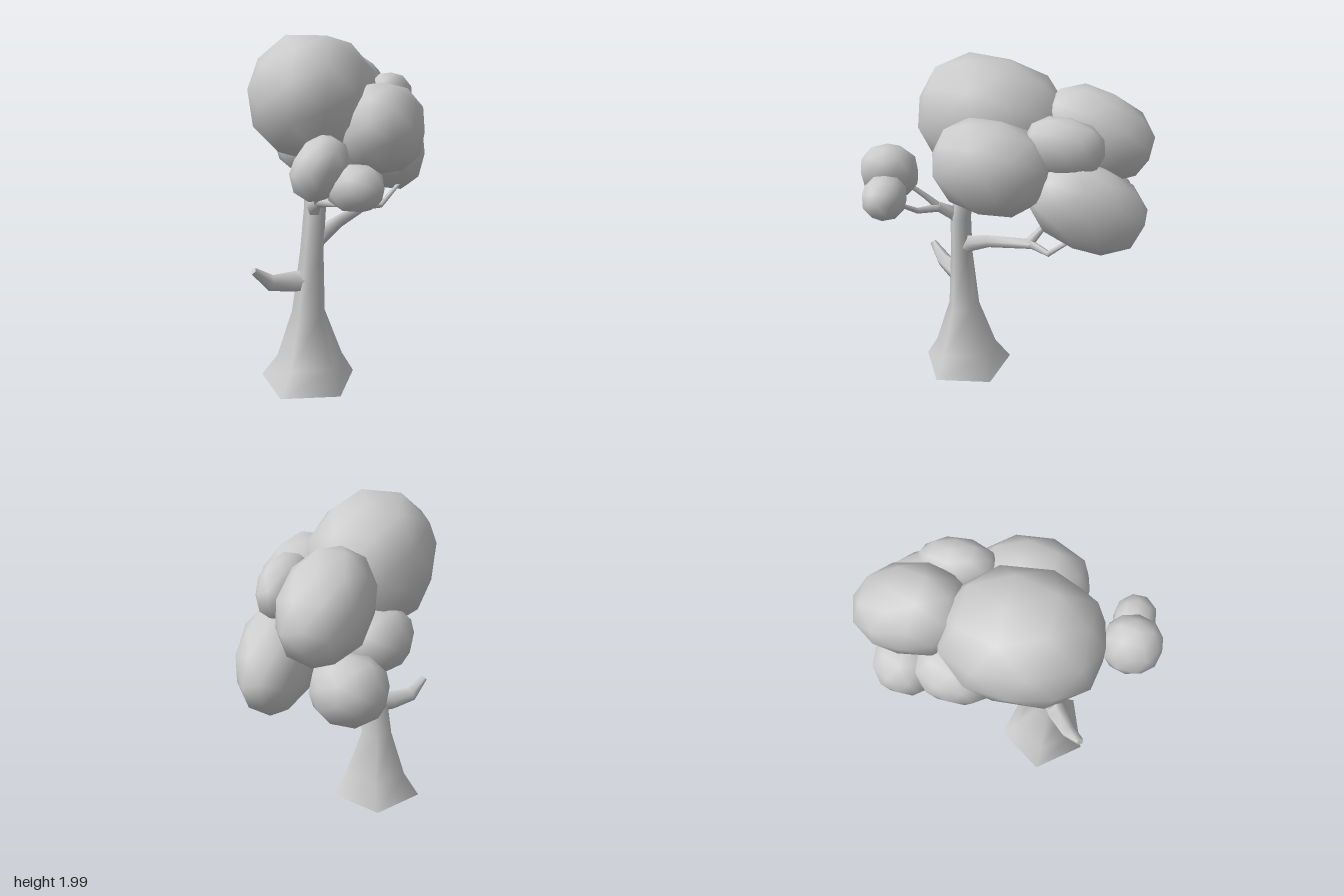
import * as THREE from 'three';
import { mergeVertices } from 'three/addons/utils/BufferGeometryUtils.js';

const material = new THREE.MeshStandardMaterial({ color: 0xcccccc });

// Tapered limb through sections [x, y, z, radius]; level keeps every ring horizontal
function limb(name, sections, level = false) {
  const sides = 5, twist = 0.58;
  const centres = sections.map(([x, y, z]) => new THREE.Vector3(x, y, z));
  const up = new THREE.Vector3(0, 1, 0);
  const pos = [], index = [];
  const last = sections.length - 1;
  sections.forEach((s, i) => {
    const tangent = centres[Math.min(i + 1, last)].clone().sub(centres[Math.max(i - 1, 0)]).normalize();
    const turn = new THREE.Quaternion();
    if (!level) turn.setFromUnitVectors(up, tangent);
    for (let k = 0; k < sides; k++) {
      const a = twist + (k / sides) * Math.PI * 2;
      const p = new THREE.Vector3(Math.cos(a) * s[3], 0, Math.sin(a) * s[3]).applyQuaternion(turn).add(centres[i]);
      pos.push(p.x, p.y, p.z);
    }
  });
  for (let i = 0; i < last; i++) {
    for (let k = 0; k < sides; k++) {
      const a = i * sides + k, b = i * sides + (k + 1) % sides;
      index.push(a, a + sides, b, b, a + sides, b + sides);
    }
  }
  // End caps with their own vertices, so the rims stay sharp
  for (const [ring, flip] of [[0, false], [last, true]]) {
    const start = pos.length / 3;
    pos.push(...pos.slice(ring * sides * 3, (ring + 1) * sides * 3));
    for (let k = 1; k < sides - 1; k++) {
      index.push(start, start + (flip ? k + 1 : k), start + (flip ? k : k + 1));
    }
  }
  const geometry = new THREE.BufferGeometry();
  geometry.setAttribute('position', new THREE.Float32BufferAttribute(pos, 3));
  geometry.setIndex(index);
  geometry.computeVertexNormals();
  const mesh = new THREE.Mesh(geometry, material);
  mesh.name = name;
  return mesh;
}

// Coarse ball swollen towards its corners, smooth-shaded
function makeClumpGeometry() {
  const ball = new THREE.IcosahedronGeometry(1, 1);
  ball.deleteAttribute('normal');
  ball.deleteAttribute('uv');
  const geometry = mergeVertices(ball, 1e-3);
  const position = geometry.attributes.position;
  const p = new THREE.Vector3();
  const power = 2.4;
  for (let i = 0; i < position.count; i++) {
    p.fromBufferAttribute(position, i);
    const size = p.toArray().reduce((sum, c) => sum + Math.abs(c) ** power, 0) ** (1 / power);
    p.divideScalar(size);
    position.setXYZ(i, p.x, p.y, p.z);
  }
  geometry.computeVertexNormals();
  return geometry;
}

const clumpGeometry = makeClumpGeometry();
function clump(name, centre, radii, tilt = [0, 0, 0]) {
  const mesh = new THREE.Mesh(clumpGeometry, material);
  mesh.name = name;
  mesh.position.set(...centre);
  mesh.scale.set(...radii);
  mesh.rotation.set(...tilt);
  return mesh;
}

export function createModel() {
  const tree = new THREE.Group();
  tree.name = 'tree';

  // Trunk with flared five-sided foot
  tree.add(limb('trunk', [
    [-0.135, 0, 0.272, 0.288], [-0.12, 0.14, 0.28, 0.2], [-0.125, 0.43, 0.285, 0.1],
    [-0.1, 0.8, 0.288, 0.07], [-0.08, 1.05, 0.285, 0.065], [-0.1, 1.3, 0.235, 0.058],
    [-0.105, 1.5, 0.19, 0.05],
  ], true));

  // Broken branch low on the trunk
  tree.add(limb('brokenBranch', [
    [-0.1, 0.63, 0.28, 0.06], [-0.2, 0.635, 0.35, 0.06], [-0.3, 0.65, 0.44, 0.048], [-0.365, 0.74, 0.52, 0.022],
  ]));

  // Back branch with its fork
  const back = new THREE.Group();
  back.name = 'backBranch';
  back.add(
    limb('backBough', [
      [-0.09, 0.82, 0.28, 0.028], [-0.06, 0.89, 0.22, 0.052], [0, 0.935, 0.1, 0.038], [0.09, 0.97, -0.16, 0.03],
    ]),
    limb('backTwigInner', [[0.085, 0.965, -0.14, 0.03], [0.05, 1.06, -0.22, 0.02], [0.03, 1.2, -0.3, 0.017]]),
    limb('backTwigOuter', [[0.09, 0.97, -0.15, 0.025], [0.17, 0.95, -0.26, 0.018], [0.27, 1.08, -0.38, 0.012]]),
  );
  tree.add(back);

  // Front branch with its fork
  const front = new THREE.Group();
  front.name = 'frontBranch';
  front.add(
    limb('frontBough', [
      [-0.085, 0.98, 0.28, 0.03], [-0.075, 1.07, 0.32, 0.045], [-0.03, 1.13, 0.41, 0.03],
    ]),
    limb('frontTwigUpper', [[-0.035, 1.12, 0.4, 0.026], [0, 1.2, 0.47, 0.018], [0.04, 1.3, 0.58, 0.013]]),
    limb('frontTwigLower', [[-0.035, 1.12, 0.4, 0.026], [0.1, 1.15, 0.5, 0.018], [0.2, 1.23, 0.6, 0.012]]),
  );
  tree.add(front);

  // Crown
  const crown = new THREE.Group();
  crown.name = 'crown';
  crown.add(
    clump('mainClump', [-0.138, 1.64, 0.095], [0.345, 0.35, 0.435], [-0.27, 0, 0]),
    clump('leftClump', [0.24, 1.48, 0.055], [0.24, 0.255, 0.325], [-0.22, 0, 0]),
    clump('smallUpperClump', [0.2, 1.595, -0.335], [0.13, 0.155, 0.22], [-0.2, 0, 0]),
    clump('backUpperClump', [-0.1, 1.585, -0.5], [0.235, 0.24, 0.335], [-0.45, 0, 0]),
    clump('backLowerClump', [0.195, 1.25, -0.475], [0.2, 0.235, 0.335], [-0.45, 0.15, 0]),
    clump('rightLowerClump', [-0.235, 1.155, -0.535], [0.205, 0.185, 0.195]),
    clump('rightMiddleClump', [-0.265, 1.325, -0.225], [0.205, 0.18, 0.235]),
    clump('frontClump', [0.065, 1.37, 0.66], [0.132, 0.172, 0.165], [0, 0, -0.5]),
    clump('frontSmallClump', [0.245, 1.28, 0.65], [0.147, 0.12, 0.12]),
  );
  tree.add(crown);
  return tree;
}
